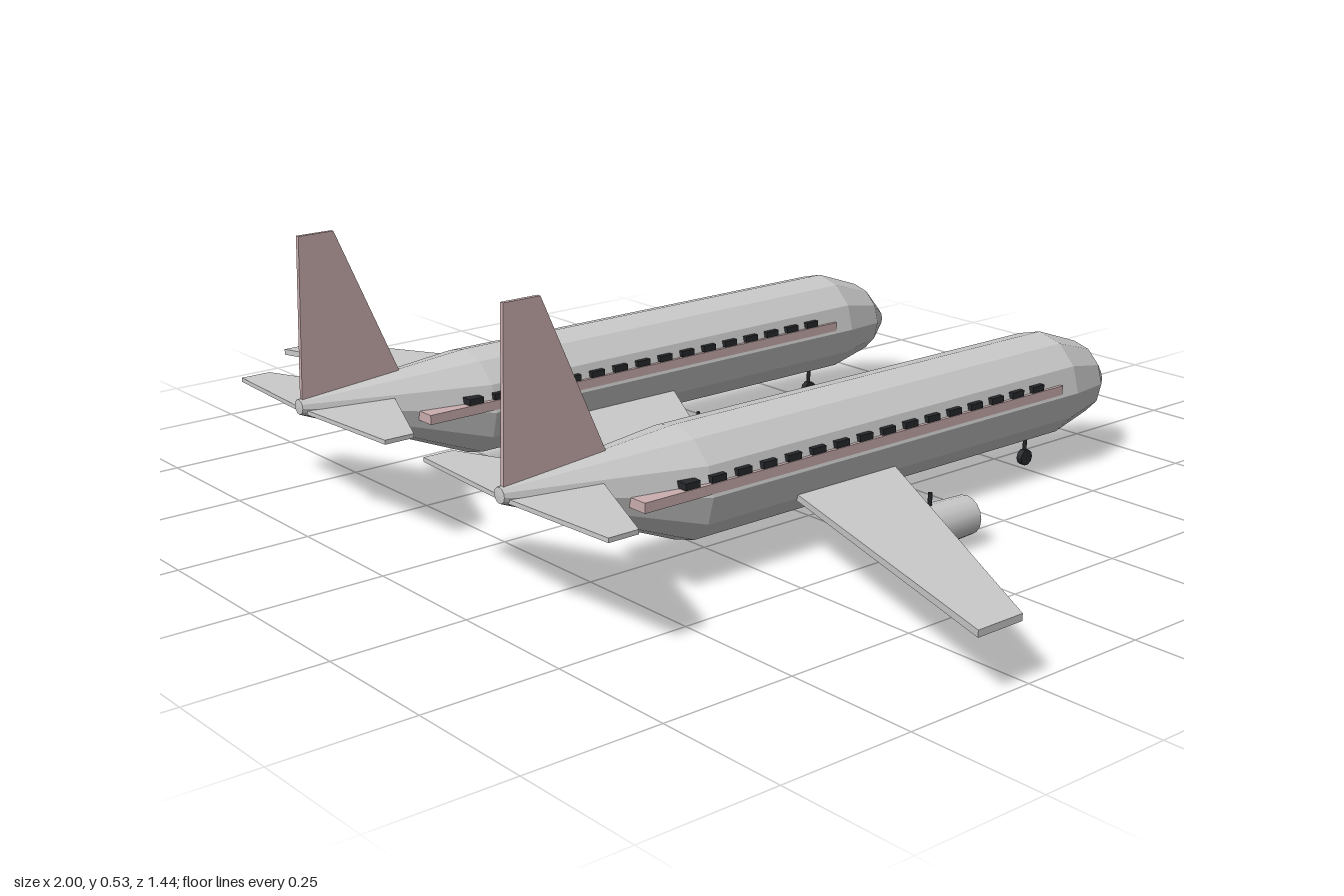
import * as THREE from 'three';

const grey = new THREE.MeshStandardMaterial({ color: 0xcacaca });
grey.name = 'hullGrey';
const rose = new THREE.MeshStandardMaterial({ color: 0xcaaeae });
rose.name = 'trimRose';
const dark = new THREE.MeshStandardMaterial({ color: 0x26282b });
dark.name = 'darkDetail';

function add(parent, name, geometry, material, x = 0, y = 0, z = 0) {
  const mesh = new THREE.Mesh(geometry, material);
  mesh.name = name;
  mesh.position.set(x, y, z);
  parent.add(mesh);
  return mesh;
}

// Faceted body through rings of [z, centre height, radius]
function loft(rings, sides) {
  const pos = [], idx = [];
  for (const [z, cy, r] of rings) {
    for (let j = 0; j < sides; j++) {
      const a = (j / sides) * Math.PI * 2;
      pos.push(r * Math.sin(a), cy + r * Math.cos(a), z);
    }
  }
  for (let i = 0; i < rings.length - 1; i++) {
    for (let j = 0; j < sides; j++) {
      const a = i * sides + j, b = i * sides + (j + 1) % sides;
      idx.push(a, a + sides, b, b, a + sides, b + sides);
    }
  }
  const g = new THREE.BufferGeometry();
  g.setAttribute('position', new THREE.Float32BufferAttribute(pos, 3));
  g.setIndex(idx);
  const flat = g.toNonIndexed();
  flat.computeVertexNormals();
  return flat;
}

function extrude(points, depth) {
  const shape = new THREE.Shape(points.map(([a, b]) => new THREE.Vector2(a, b)));
  return new THREE.ExtrudeGeometry(shape, { depth, bevelEnabled: false })
    .translate(0, 0, -depth / 2);
}

// Symmetric horizontal plate from one half outline of [x, z], root first
function plate(half, thickness) {
  const mirrored = half.map(([x, z]) => [-x, z]).reverse();
  return extrude([...half, ...mirrored], thickness).rotateX(Math.PI / 2);
}

// Wheel on a strut
function landingGear(parent, name, x, z, r, top) {
  const gear = new THREE.Group();
  gear.name = name;
  gear.position.set(x, 0, z);
  add(gear, 'wheel', new THREE.CylinderGeometry(r, r, 0.012, 10).rotateZ(Math.PI / 2), dark, 0, r, 0);
  add(gear, 'strut', new THREE.CylinderGeometry(0.004, 0.004, top - r, 6), dark, 0, (top + r) / 2, 0);
  parent.add(gear);
}

function createPlane(name) {
  const plane = new THREE.Group();
  plane.name = name;

  // Fuselage, nose towards -z
  add(plane, 'fuselage', loft([
    [-0.721, 0.143, 0], [-0.72, 0.143, 0.022], [-0.655, 0.155, 0.073], [-0.55, 0.163, 0.102],
    [0.366, 0.163, 0.102], [0.72, 0.221, 0.014], [0.721, 0.221, 0],
  ], 12), grey);

  // Side stripe and window row
  add(plane, 'stripe', new THREE.BoxGeometry(0.204, 0.018, 1.015), rose, 0, 0.178, 0.003);
  for (let i = 0; i < 16; i++) {
    add(plane, 'window', new THREE.BoxGeometry(0.205, 0.012, 0.031), dark, 0, 0.194, 0.41 - i * 0.0563);
  }

  // Wings, tailplane and fin
  add(plane, 'wings', plate([[0, -0.12], [0.69, 0.27], [0.69, 0.366], [0, 0.137]], 0.012), grey, 0, 0.113, 0);
  add(plane, 'tailplane', plate([[0, 0.53], [0.25, 0.64], [0.25, 0.698], [0, 0.712]], 0.008), grey, 0, 0.212, 0);
  add(plane, 'fin', extrude([[0.505, 0.235], [0.715, 0.225], [0.705, 0.53], [0.635, 0.53]], 0.008)
    .rotateY(-Math.PI / 2), rose);

  // Engines, pylons and main gear
  for (const s of [1, -1]) {
    const engine = new THREE.CylinderGeometry(0.042, 0.036, 0.16, 16).rotateX(Math.PI / 2);
    add(plane, 'engine', engine.toNonIndexed(), grey, s * 0.221, 0.053, -0.035);
    add(plane, 'pylon', new THREE.CylinderGeometry(0.004, 0.004, 0.03, 6), dark, s * 0.221, 0.1, -0.022);
    landingGear(plane, 'mainGear', s * 0.143, 0.044, 0.019, 0.11);
  }
  landingGear(plane, 'noseGear', 0, -0.52, 0.016, 0.09);
  return plane;
}

export function createModel() {
  const model = new THREE.Group();
  model.name = 'twinAircraft';
  // Two aircraft side by side with overlapping inner wings
  for (const [name, x] of [['leftAircraft', 0.31], ['rightAircraft', -0.31]]) {
    const plane = createPlane(name);
    plane.position.x = x;
    model.add(plane);
  }
  return model;
}
